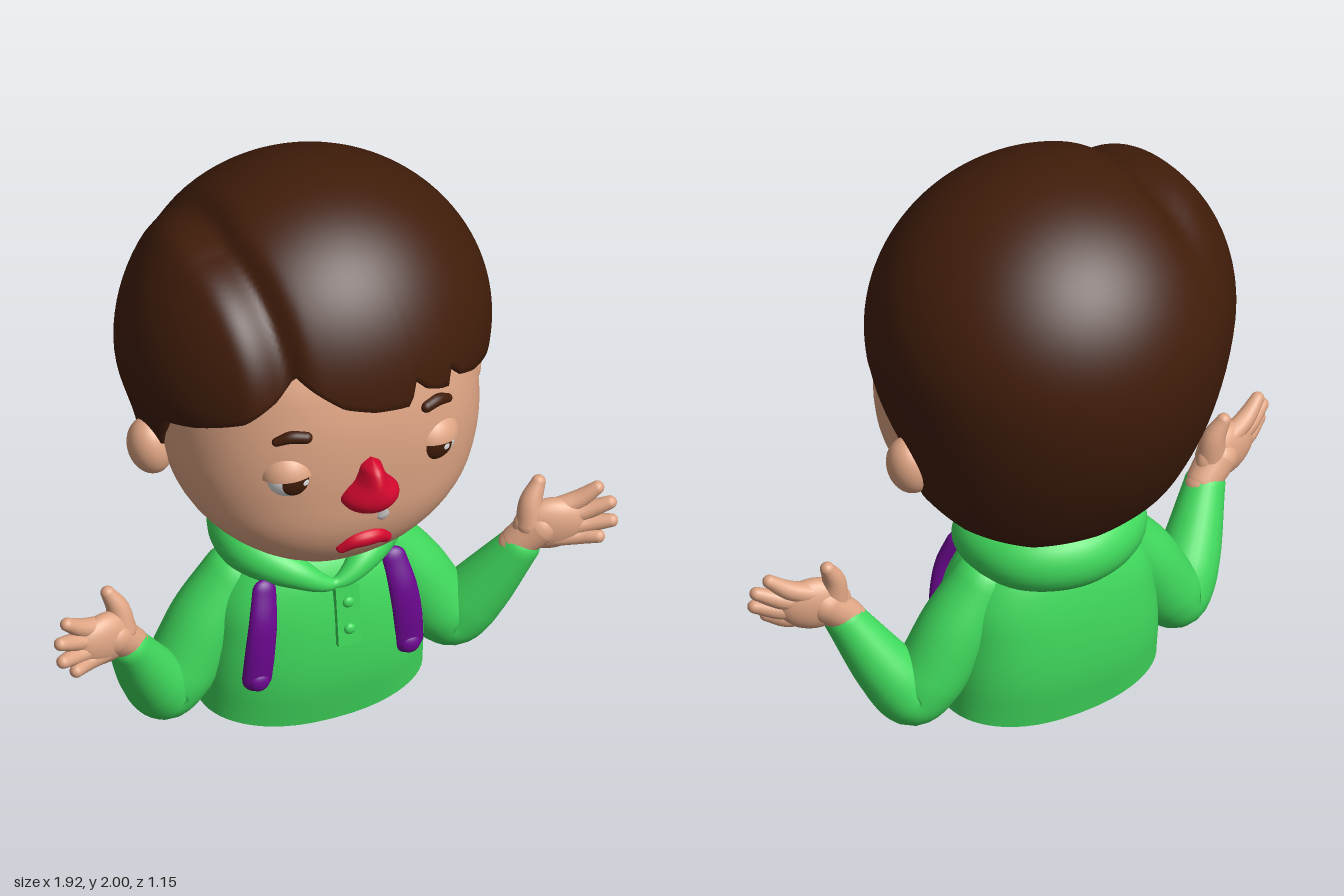
import * as THREE from 'three';
import { toCreasedNormals } from 'three/addons/utils/BufferGeometryUtils.js';

const V = (x, y, z) => new THREE.Vector3(x, y, z);
const { smoothstep, clamp } = THREE.MathUtils;

const mat = (name, color) => Object.assign(new THREE.MeshStandardMaterial({ color }), { name });

// Interpolate table rows keyed by their first column
function table(rows, Type = THREE.CubicInterpolant) {
  const it = new Type(rows.map(r => r[0]), rows.flatMap(r => r.slice(1)), rows[0].length - 1);
  return x => Array.from(it.evaluate(x));
}

// Skin rings of points; rings run counter-clockwise around the row direction
function surface(nu, nv, f, wrap = false) {
  const pos = [], idx = [];
  for (let j = 0; j <= nv - (wrap ? 1 : 0); j++)
    for (let i = 0; i < nu; i++) pos.push(...f((i / nu) * Math.PI * 2, j).toArray());
  const at = (i, j) => (wrap ? j % nv : j) * nu + (i % nu);
  for (let j = 0; j < nv; j++)
    for (let i = 0; i < nu; i++) {
      const a = at(i, j), b = at(i + 1, j), c = at(i, j + 1), d = at(i + 1, j + 1);
      idx.push(a, b, c, b, d, c);
    }
  const g = new THREE.BufferGeometry();
  g.setAttribute('position', new THREE.Float32BufferAttribute(pos, 3));
  g.setIndex(idx);
  g.computeVertexNormals();
  return g;
}

// Round-ended tube of varying radius; each point is [x, y, z, radius]
function sweep(pts, { closed = false, flat = 1, ref = V(0, 0, 1), segs = 24, sides = 20 } = {}) {
  const curve = new THREE.CatmullRomCurve3(pts.map(p => V(p[0], p[1], p[2])), closed);
  const n = closed ? pts.length : pts.length - 1;
  const radii = table([...pts, ...(closed ? [pts[0]] : [])].map((p, i) => [i, p[3]]));
  const rows = [], cap = 6;
  if (!closed) for (let k = 0; k < cap; k++) { const a = k / cap * Math.PI / 2; rows.push([0, -Math.cos(a), Math.sin(a)]); }
  for (let k = 0; k < segs + (closed ? 0 : 1); k++) rows.push([k / segs, 0, 1]);
  if (!closed) for (let k = 1; k <= cap; k++) { const a = k / cap * Math.PI / 2; rows.push([1, Math.sin(a), Math.cos(a)]); }
  return surface(sides, closed ? segs : rows.length - 1, (u, j) => {
    const [t, off, k] = rows[j], r = radii(t * n)[0];
    const T = curve.getTangent(t), A = V().crossVectors(T, ref).normalize(), B = V().crossVectors(T, A);
    return curve.getPoint(t).addScaledVector(T, off * r)
      .addScaledVector(A, Math.cos(u) * r * k).addScaledVector(B, Math.sin(u) * r * k * flat);
  }, closed);
}

const power = (c, n) => Math.sign(c) * Math.abs(c) ** (2 / n);

// Head profile: height, half width, front z, back z
const headRow = table([
  [0.708, 0, 0.17, 0.17], [0.73, 0.13, 0.28, 0.03], [0.78, 0.25, 0.36, -0.1], [0.85, 0.355, 0.42, -0.2],
  [0.95, 0.445, 0.465, -0.28], [1.1, 0.5, 0.485, -0.34], [1.25, 0.51, 0.49, -0.39], [1.4, 0.49, 0.475, -0.42],
  [1.55, 0.45, 0.43, -0.4], [1.75, 0.3, 0.28, -0.28], [1.85, 0, 0, 0]]);
const HEAD_N = 2.35;
const headGeo = () => surface(64, 50, (u, j) => {
  const y = 0.708 + 1.142 * (1 - Math.cos(j / 50 * Math.PI)) / 2, [w, f, b] = headRow(y);
  const n = Math.cos(u) > 0 ? HEAD_N : 2;
  return V(w * power(Math.sin(u), n), y, (f + b) / 2 + (f - b) / 2 * power(Math.cos(u), n));
});
function faceZ(x, y) {
  const [w, f, b] = headRow(y);
  return (f + b) / 2 + (f - b) / 2 * (1 - Math.abs(x / w) ** HEAD_N) ** (1 / HEAD_N);
}

// Hairline height by angle around the head (0 = front, + = model's left)
const hairline = table([
  [-180, 0.79], [-150, 0.82], [-120, 0.91], [-100, 1.01], [-88, 1.1], [-83, 1.2], [-72, 1.35], [-57, 1.39],
  [-40, 1.45], [-31, 1.52], [-26, 1.6], [-18, 1.54], [-10, 1.48], [0, 1.445], [9, 1.43], [13, 1.425], [14.5, 1.52],
  [20, 1.46], [25, 1.435], [28.5, 1.425], [30, 1.495], [36, 1.43], [43, 1.4], [57, 1.37], [72, 1.36], [83, 1.2],
  [88, 1.1], [100, 1.01], [120, 0.91], [150, 0.82], [180, 0.79]], THREE.LinearInterpolant);
const hairGeo = () => surface(240, 43, (u, j) => {
  const deg = u > Math.PI ? u * 180 / Math.PI - 360 : u * 180 / Math.PI, c = Math.cos(u);
  const edge = hairline(deg)[0];
  // First three rows tuck the hairline under, the rest rise to the crown
  let y = edge, inset = 1;
  if (j < 3) { y += [0.05, 0.0, -0.008][j]; inset = [0.75, 0.93, 0.975][j]; }
  else y = edge + (2 - edge) * Math.sin((j - 3) / 40 * Math.PI / 2);
  const low = Math.max(0, (1.45 - y) / 0.65) ** 1.8;
  const top = y > 1.45 ? Math.sqrt(Math.max(0, 1 - ((y - 1.45) / 0.55) ** 2)) : 1;
  // The nape tapers more front to back than side to side
  const sx = inset * top * (1 - (0.45 - 0.22 * smoothstep(-c, -0.05, 0.2)) * low), sz = inset * top * (1 - 0.45 * low);
  const p = V(0.585 * sx * Math.sin(u), y, (c > 0 ? 0.53 : 0.57) * sz * c);
  // Parting: a groove with a fuller lobe on the model's right
  const part = -0.33 + 0.07 * clamp((p.z - 0.1) / 0.4, 0, 1), d = part - p.x;
  const fade = smoothstep(p.z, -0.45, 0) * smoothstep(p.y, 1.15, 1.45);
  const push = fade * (0.042 * smoothstep(d, 0, 0.1) - 0.032 * Math.exp(-((d / 0.045) ** 2)));
  return p.addScaledVector(V(p.x, (p.y - 1.4) * 0.8, p.z).normalize(), push);
});

// Nose: height, half width, front z
const noseRow = table([[1.05, 0, 0.5], [1.06, 0.055, 0.53], [1.085, 0.09, 0.56], [1.11, 0.098, 0.572],
  [1.14, 0.082, 0.576], [1.17, 0.055, 0.574], [1.2, 0.042, 0.566], [1.23, 0.03, 0.545], [1.25, 0, 0.5]]);
const noseGeo = () => surface(40, 28, (u, j) => {
  const y = 1.05 + 0.2 * (1 - Math.cos(j / 28 * Math.PI)) / 2, [w, f] = noseRow(y);
  return V(w * Math.sin(u), y, 0.47 + (f - 0.47) * Math.cos(u) * (j % 28 ? 1 : 0));
});

// Torso profile: height, half width, half depth
const torsoRow = table([[0.04, 0.37, 0.2], [0.2, 0.368, 0.228], [0.35, 0.355, 0.232],
  [0.5, 0.325, 0.215], [0.6, 0.25, 0.185], [0.68, 0.14, 0.13]]);
const torsoGeo = () => toCreasedNormals(surface(56, 26, (u, j) => {
  const y = j < 2 ? 0.04 : Math.min(0.68, 0.04 + 0.64 * (j - 2) / 23), end = j === 0 || j === 26 ? 0 : 1;
  const [w, d] = torsoRow(y);
  const x = end * w * power(Math.sin(u), 2.6);
  const lift = 0.05 * (x / 0.37) ** 2 * (1 - smoothstep(y, 0.04, 0.4));
  return V(x, y + lift, end * d * power(Math.cos(u), 2.6));
}), 0.8);

export function createModel() {
  const root = new THREE.Group();
  const skin = mat('skin', 0xdfa584), hair = mat('dark brown', 0x411d0a), green = mat('hoodie green', 0x40da5d),
    red = mat('red', 0xd8082f), purple = mat('strap purple', 0x6b078f), white = mat('eye white', 0xe2e2e2),
    tear = mat('tear grey', 0xc6c2c2);
  const add = (name, geo, material, pos = [0, 0, 0], scale = [1, 1, 1], rot = [0, 0, 0]) => {
    const m = new THREE.Mesh(geo, material);
    m.name = name;
    m.position.set(...pos); m.scale.set(...scale); m.rotation.set(...rot);
    root.add(m);
  };
  const ball = new THREE.SphereGeometry(1, 32, 24);
  const capGeo = (r, a) => new THREE.SphereGeometry(r, 32, 12, 0, Math.PI * 2, 0, a).rotateX(Math.PI / 2);

  // Head and hair
  add('head', headGeo(), skin);
  add('hair', hairGeo(), hair);
  add('neck', new THREE.CylinderGeometry(0.11, 0.13, 0.3, 32), skin, [0, 0.68, 0.04]);

  // Nose, mouth and tear
  add('nose', noseGeo(), red);
  add('mouth', sweep([[-0.075, 0.884, faceZ(0.075, 0.884), 0.019], [-0.04, 0.911, faceZ(0.04, 0.911), 0.027],
    [0, 0.918, faceZ(0, 0.918) + 0.004, 0.029], [0.04, 0.911, faceZ(0.04, 0.911), 0.027],
    [0.075, 0.884, faceZ(0.075, 0.884), 0.019]]), red);
  add('tear', sweep([[0.045, 1.045, 0.478, 0.008], [0.05, 1.0, 0.47, 0.023]], { flat: 0.5 }), tear);

  // Body, hood collar and stand
  add('torso', torsoGeo(), green);
  add('hood', sweep([[0, 0.57, 0.21, 0.018], [0.12, 0.622, 0.17, 0.054], [0.218, 0.668, 0.04, 0.09],
    [0.165, 0.67, -0.12, 0.113], [0, 0.668, -0.18, 0.122], [-0.165, 0.67, -0.12, 0.113], [-0.218, 0.668, 0.04, 0.09],
    [-0.12, 0.622, 0.17, 0.054]], { closed: true, ref: V(0, 1, 0), segs: 72, sides: 28 }), green);
  add('stand', new THREE.CylinderGeometry(0.097, 0.097, 0.06, 40), hair, [0, 0.03, 0]);

  // Button placket
  add('placket', new THREE.BoxGeometry(0.08, 0.21, 0.03), green, [0.035, 0.455, 0.227], [1, 1, 1], [-0.12, 0, 0]);
  for (const y of [0.41, 0.505])
    add('button', ball, green, [0.035, y, 0.248 - (y - 0.41) * 0.12], [0.019, 0.019, 0.013]);

  for (const s of [-1, 1]) {
    const side = s > 0 ? 'left' : 'right';
    const mirror = pts => pts.map(([x, ...r]) => [x * s, ...r]);

    add(side + 'Ear', ball, skin, [s * 0.525, 1.1, -0.03], [0.072, 0.1, 0.077], [0, 0, -s * 0.2]);

    // Eye with iris, glint and drooping lid
    const eye = [s * 0.24, 1.205, 0.385], tilt = [-0.14, 0, -s * 0.06];
    add(side + 'Eye', ball, white, eye, [0.09, 0.09, 0.09]);
    add(side + 'Iris', capGeo(0.0925, 0.6), hair, eye, [1, 1, 1], [0.04, -s * 0.04, 0]);
    add(side + 'Glint', capGeo(0.0945, 0.12), white, eye, [1, 1, 1], [0.06, 0.3, 0]);
    add(side + 'Eyelid', new THREE.SphereGeometry(0.099, 40, 16, 0, Math.PI * 2, 0, Math.PI / 2), skin, eye, [1, 1, 1], tilt);
    add(side + 'EyelidEdge', new THREE.CircleGeometry(0.099, 40).rotateX(Math.PI / 2), skin, eye, [1, 1, 1], tilt);
    add(side + 'Eyebrow', sweep(mirror([[0.292, 1.347, faceZ(0.292, 1.347), 0.015],
      [0.25, 1.364, faceZ(0.25, 1.364), 0.021], [0.205, 1.361, faceZ(0.205, 1.361), 0.02]])), hair);

    // Strap
    add(side + 'Strap', sweep(mirror([[0.222, 0.575, 0.168, 0.04], [0.238, 0.48, 0.196, 0.047],
      [0.25, 0.38, 0.202, 0.05], [0.257, 0.272, 0.195, 0.051]]), { flat: 0.55 }), purple);
    add(side + 'StrapEnd', ball, purple, [s * 0.257, 0.265, 0.212], [0.034, 0.034, 0.02]);

    // Sleeve, bent at the elbow
    add(side + 'Sleeve', sweep(mirror([[0.25, 0.53, -0.015, 0.1], [0.345, 0.39, -0.01, 0.115],
      [0.435, 0.235, 0, 0.115], [0.49, 0.178, 0.01, 0.103], [0.555, 0.265, 0.045, 0.1], [0.667, 0.465, 0.125, 0.066]]),
    { segs: 40, sides: 28 }), green);

    // Open hand: palm, thumb and four fingers
    add(side + 'Wrist', sweep(mirror([[0.65, 0.47, 0.12, 0.052], [0.73, 0.54, 0.145, 0.064]])), skin);
    add(side + 'Palm', ball, skin, [s * 0.76, 0.545, 0.155], [0.12, 0.09, 0.052], [0, -s * 0.27, s * 0.1]);
    add(side + 'Thumb', sweep(mirror([[0.7, 0.55, 0.14, 0.05], [0.705, 0.625, 0.13, 0.038], [0.735, 0.688, 0.12, 0.023]])), skin);
    const tips = [[0.905, 0.662, 0.19], [0.937, 0.612, 0.215], [0.935, 0.553, 0.23], [0.89, 0.505, 0.23]];
    tips.forEach(([x, y, z], i) => add(side + 'Finger', sweep(mirror([[0.77, 0.588 - i * 0.028, 0.15 + i * 0.006, 0.036],
      [(0.77 + x) / 2 + 0.01, (y + 0.588 - i * 0.028) / 2 - 0.006, (z + 0.15) / 2, 0.031], [x, y, z, 0.022]]),
    { segs: 12, sides: 14 }), skin));
  }
  return root;
}
